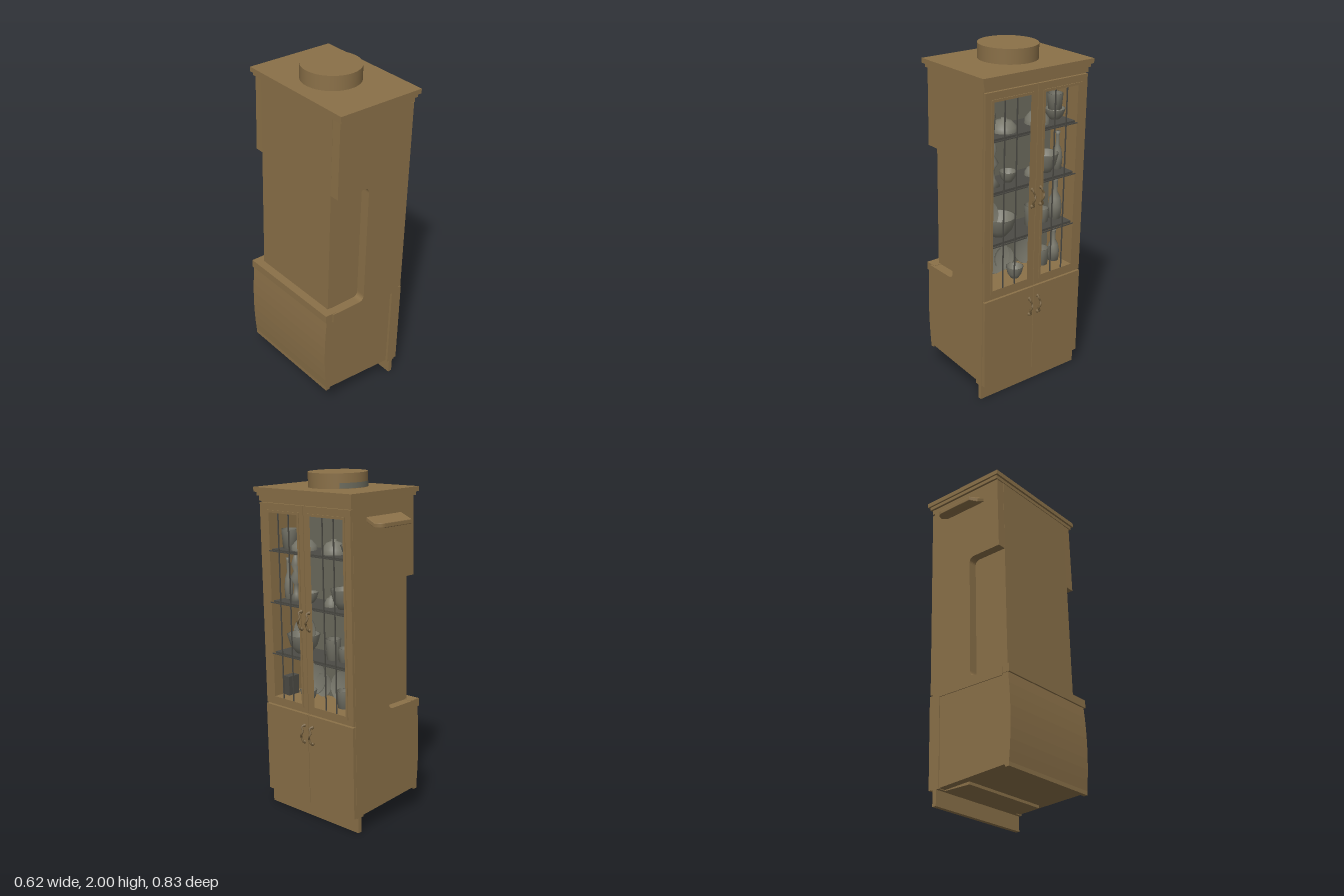
import * as THREE from 'three';

const mat = (name, color, side = THREE.FrontSide) => {
  const m = new THREE.MeshStandardMaterial({ color, side });
  m.name = name;
  return m;
};

export function createModel() {
  const wood = mat('wood', 0x8a7048);
  const grey = mat('interior grey', 0x6c6b5d);
  const ware = mat('dish grey', 0x77766a, THREE.DoubleSide);
  const dark = mat('dark shelf', 0x4b4a44);
  const bronze = mat('handle bronze', 0x75603e);

  const model = new THREE.Group();
  model.name = 'cabinet';
  const body = new THREE.Group();
  body.name = 'leaningBody';
  body.rotation.z = -0.025; // the whole cabinet leans slightly toward its doors
  model.add(body);

  const add = (name, geo, material, x = 0, y = 0, z = 0) => {
    const m = new THREE.Mesh(geo, material);
    m.name = name;
    m.position.set(x, y, z);
    body.add(m);
    return m;
  };
  // box from its minimum and maximum on each axis
  const box = (name, x0, x1, y0, y1, z0, z1, material = wood) =>
    add(name, new THREE.BoxGeometry(x1 - x0, y1 - y0, z1 - z0), material,
      (x0 + x1) / 2, (y0 + y1) / 2, (z0 + z1) / 2);
  const extrude = (shape, depth) =>
    new THREE.ExtrudeGeometry(shape, { depth, bevelEnabled: false, curveSegments: 8 });

  // side walls with a rounded notch cut from the rear edge
  const side = new THREE.Shape();
  side.moveTo(0.17, 0.095);
  side.lineTo(0.222, 0.095);
  side.lineTo(0.222, 1.875);
  side.lineTo(-0.27, 1.875);
  side.lineTo(-0.272, 1.42);
  side.lineTo(-0.09, 1.42);
  side.quadraticCurveTo(-0.055, 1.42, -0.055, 1.385);
  side.lineTo(-0.055, 0.71);
  side.quadraticCurveTo(-0.055, 0.675, -0.09, 0.675);
  side.lineTo(-0.276, 0.675);
  side.lineTo(-0.276, 0.62);
  side.lineTo(0.17, 0.62);
  add('leftWall', extrude(side, 0.057), wood, 0, 0, 0.333);
  add('rightWall', extrude(side, 0.053), wood, 0, 0, -0.32);

  // core behind the display space, its floor and ceiling
  box('rearCore', -0.272, 0, 0.62, 1.875, -0.267, 0.333);
  box('displayFloor', 0, 0.222, 0.095, 0.685, -0.267, 0.333);
  box('displayCeiling', 0, 0.222, 1.79, 1.875, -0.267, 0.333);
  box('displayBack', 0, 0.005, 0.685, 1.79, -0.267, 0.333, grey);

  // lower chest with a gently bowed back
  const chest = new THREE.Shape();
  chest.moveTo(0.171, 0.1);
  chest.lineTo(0.171, 0.63);
  chest.lineTo(-0.312, 0.63);
  chest.quadraticCurveTo(-0.334, 0.38, -0.304, 0.14);
  chest.lineTo(-0.304, 0.116);
  chest.lineTo(-0.28, 0.116);
  chest.lineTo(-0.275, 0.13);
  add('lowerChest', extrude(chest, 0.69), wood, 0, 0, -0.315);
  box('chestLip', -0.322, -0.25, 0.63, 0.677, -0.318, 0.38);
  box('plinth', 0.188, 0.213, 0.005, 0.097, -0.32, 0.387);

  // stepped top
  box('cornice', -0.276, 0.245, 1.865, 1.888, -0.333, 0.403);
  box('topPlate', -0.288, 0.257, 1.886, 1.913, -0.343, 0.415);
  box('headRail', 0.215, 0.236, 1.835, 1.87, -0.322, 0.392);
  add('roundCap', new THREE.CylinderGeometry(0.168, 0.168, 0.088, 48), wood, -0.031, 1.953, 0.027);
  add('capShadowGap', new THREE.CylinderGeometry(0.1695, 0.1695, 0.03, 16, 1, true, Math.PI - 0.75, 1.5),
    grey, -0.031, 1.93, 0.027);

  // frame in the door plane: outer rectangle with one opening, extruded along x
  const rect = (P, z0, z1, y0, y1) => {
    const p = new P();
    p.moveTo(-z0, y0);
    p.lineTo(-z1, y0);
    p.lineTo(-z1, y1);
    p.lineTo(-z0, y1);
    p.closePath();
    return p;
  };
  const frame = (name, x0, x1, outer, inner) => {
    const s = rect(THREE.Shape, ...outer);
    s.holes.push(rect(THREE.Path, ...inner));
    const g = extrude(s, x1 - x0);
    g.rotateY(Math.PI / 2);
    return add(name, g, wood, x0, 0, 0);
  };

  // two glazed doors above two panelled doors
  const doors = [
    { z0: 0.037, z1: 0.386, w0: 0.083, w1: 0.333 },
    { z0: -0.318, z1: 0.033, w0: -0.265, w1: -0.015 },
  ];
  for (const { z0, z1, w0, w1 } of doors) {
    frame('upperDoor', 0.218, 0.238, [z0, z1, 0.645, 1.828], [w0, w1, 0.69, 1.775]);
    frame('upperDoorMoulding', 0.228, 0.243, [w0 - 0.014, w1 + 0.014, 0.676, 1.789], [w0, w1, 0.69, 1.775]);
    const p0 = z0 + 0.042, p1 = z1 - 0.042;
    frame('lowerDoor', 0.218, 0.243, [z0, z1, 0.098, 0.638], [p0, p1, 0.13, 0.6]);
    frame('lowerDoorMoulding', 0.218, 0.237, [p0, p1, 0.13, 0.6], [p0 + 0.016, p1 - 0.016, 0.146, 0.584]);
    box('lowerDoorPanel', 0.218, 0.231, 0.14, 0.59, p0 + 0.01, p1 - 0.01);
    for (const t of [1 / 3, 2 / 3]) {
      const z = w0 + (w1 - w0) * t;
      box('glazingBar', 0.224, 0.23, 0.69, 1.775, z - 0.003, z + 0.003, dark);
    }
    for (const y of [0.95, 1.255, 1.555])
      box('glazingCrossBar', 0.224, 0.23, y - 0.003, y + 0.003, w0, w1, dark);
  }

  // curved pull handles
  const pull = new THREE.TubeGeometry(new THREE.CatmullRomCurve3([
    [0, -0.055, 0.006], [0.018, -0.045, -0.004], [0.022, -0.02, 0.006], [0.03, 0, 0],
    [0.022, 0.02, -0.006], [0.018, 0.045, 0.004], [0, 0.055, -0.006],
  ].map((p) => new THREE.Vector3(...p))), 24, 0.006, 6);
  for (const y of [1.19, 0.52])
    for (const z of [0.066, 0.003]) {
      add('pullHandle', pull, bronze, 0.241, y, z);
      for (const d of [-0.05, 0.05])
        add('pullMount', new THREE.SphereGeometry(0.011, 10, 8), bronze, 0.243, y + d, z);
    }

  // curled grip on the right wall
  const grip = new THREE.Shape();
  grip.moveTo(-0.137, 0);
  grip.lineTo(0.137, 0);
  grip.lineTo(0.137, 0.06);
  grip.quadraticCurveTo(0.135, 0.1, 0.1, 0.102);
  grip.lineTo(-0.11, 0.102);
  grip.lineTo(-0.137, 0.06);
  const gripGeo = new THREE.ExtrudeGeometry(grip, { depth: 0.018, bevelEnabled: true, bevelSize: 0.003, bevelThickness: 0.004, bevelSegments: 2 });
  gripGeo.rotateX(-Math.PI / 2);
  const gp = gripGeo.attributes.position;
  for (let i = 0; i < gp.count; i++) {
    const t = -gp.getZ(i) / 0.1;
    gp.setY(i, gp.getY(i) - 0.03 * Math.min(1, t * 2));
  }
  gripGeo.computeVertexNormals();
  add('sideGrip', gripGeo, wood, -0.025, 1.762, -0.314);

  // shelves
  for (const y of [0.95, 1.255, 1.555])
    box('shelf', 0.004, 0.205, y - 0.007, y + 0.007, -0.267, 0.333, dark);

  // crockery turned from profiles of unit height and unit radius
  const profiles = {
    bowl: [[0, 0], [0.45, 0], [0.8, 0.4], [1, 1], [0.93, 1], [0.7, 0.45], [0, 0.15]],
    dome: [[1, 0], [0.95, 0.35], [0.6, 0.75], [0.2, 0.88], [0.2, 1], [0, 1]],
    bottle: [[0, 0], [0.9, 0], [1, 0.3], [0.8, 0.5], [0.35, 0.65], [0.35, 0.92], [0.5, 1], [0, 1]],
    cup: [[0, 0], [0.85, 0], [1, 1], [0.9, 1], [0.8, 0.1], [0, 0.1]],
    candlestick: [[0, 0], [1, 0], [0.4, 0.15], [0.3, 0.35], [0.8, 0.5], [0.3, 0.65], [0.6, 0.8], [0.25, 1], [0, 1]],
  };
  const turned = (kind, y, z, r, h, x = 0.11) => {
    const pts = profiles[kind].map(([a, b]) => new THREE.Vector2(a * r, b * h));
    add(kind, new THREE.LatheGeometry(pts, 24), ware, x, y, z);
  };
  [
    ['cup', 1.562, 0.28, 0.05, 0.11], ['dome', 1.562, 0.165, 0.075, 0.07], ['dome', 1.562, -0.07, 0.07, 0.08],
    ['bowl', 1.562, -0.2, 0.06, 0.06], ['cup', 1.62, -0.2, 0.045, 0.09],
    ['candlestick', 1.262, 0.24, 0.045, 0.26], ['bottle', 1.262, 0.305, 0.025, 0.24], ['bowl', 1.262, 0.13, 0.05, 0.06],
    ['bowl', 1.262, -0.14, 0.075, 0.11], ['bottle', 1.262, -0.23, 0.03, 0.22], ['dome', 1.262, -0.04, 0.04, 0.06],
    ['bowl', 0.957, 0.19, 0.098, 0.11], ['cup', 0.957, -0.05, 0.045, 0.12],
    ['cup', 0.957, -0.135, 0.035, 0.08], ['bottle', 0.957, -0.225, 0.04, 0.25],
    ['bowl', 0.687, 0.11, 0.05, 0.07, 0.16], ['cup', 0.687, -0.13, 0.045, 0.1], ['bottle', 0.687, -0.225, 0.035, 0.2],
  ].forEach((a) => turned(...a));

  // plates standing against the back
  for (const [y, z, r] of [[0.79, 0.17, 0.1], [0.78, -0.06, 0.09], [1.06, 0.29, 0.09], [0.76, 0.1, 0.07]]) {
    const pts = [[0, 0], [0.6, 0], [1, 0.16], [0.98, 0.2], [0.6, 0.05], [0, 0.05]];
    const g = new THREE.LatheGeometry(pts.map(([a, b]) => new THREE.Vector2(a * r, b * r)), 28);
    g.rotateZ(-Math.PI / 2 + 0.2);
    add('standingPlate', g, ware, 0.04, y, Math.min(z, 0.33 - r));
  }
  box('tinBox', 0.08, 0.16, 0.686, 0.8, 0.275, 0.325, dark);

  return model;
}
